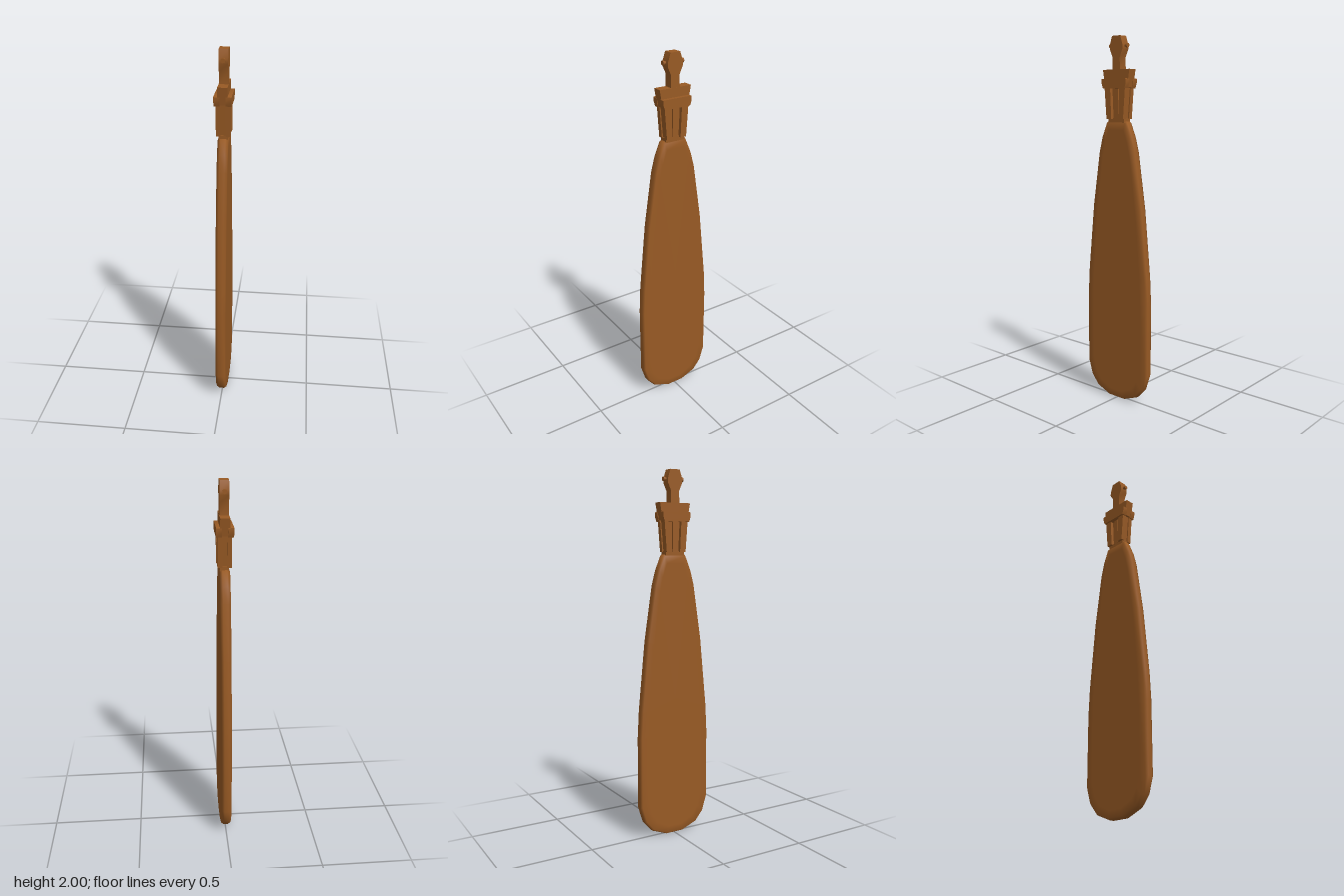
import * as THREE from 'three';
import { toCreasedNormals } from 'three/addons/utils/BufferGeometryUtils.js';

const wood = new THREE.MeshStandardMaterial({ color: 0x985a24 });
wood.name = 'brown wood';

// Mirror right-hand (halfWidth, y) points into a closed counter-clockwise outline
function mirrored(half) {
  return [...half, ...half.slice().reverse().map(([w, y]) => [-w, y])];
}

// Slab whose outline lies in the z-y plane, spanning x0..x1
function slab(points, x0, x1) {
  const shape = new THREE.Shape(points.map(([z, y]) => new THREE.Vector2(-z, y)).reverse());
  const geo = new THREE.ExtrudeGeometry(shape, { depth: x1 - x0, bevelEnabled: false });
  geo.rotateY(Math.PI / 2);
  geo.translate(x0, 0, 0);
  return toCreasedNormals(geo, 0.6);
}

// Blade: insets of one outline lofted across x, with softly rounded rims
function bladeGeometry() {
  const outline = mirrored([
    [0.05, 0.005], [0.14, 0.04], [0.187, 0.095], [0.214, 0.18], [0.214, 0.57], [0.206, 0.72],
    [0.167, 1.1], [0.12, 1.4], [0.098, 1.48], [0.065, 1.557],
  ]);
  const rings = [[-0.027, 0.045], [-0.027, 0.008], [-0.013, 0], [0.013, 0], [0.027, 0.008], [0.027, 0.045]];
  const n = outline.length, cy = 0.78;
  const pos = [], idx = [];
  for (const [x, inset] of rings) {
    for (const [z, y] of outline) {
      pos.push(x, cy + (y - cy) * (1 - inset / 0.775), z * (1 - inset / 0.214));
    }
  }
  for (let r = 0; r < rings.length - 1; r++) {
    for (let i = 0; i < n; i++) {
      const a = r * n + i, b = r * n + (i + 1) % n;
      idx.push(a, a + n, b, b, a + n, b + n);
    }
  }
  // Flat faces on both sides
  const left = pos.length / 3, right = left + 1;
  pos.push(-0.027, cy, 0, 0.027, cy, 0);
  const last = (rings.length - 1) * n;
  for (let i = 0; i < n; i++) {
    const j = (i + 1) % n;
    idx.push(left, i, j, right, last + j, last + i);
  }
  // Orient the surface outwards
  let volume = 0;
  const p = (i) => new THREE.Vector3().fromArray(pos, i * 3);
  for (let i = 0; i < idx.length; i += 3) {
    volume += p(idx[i]).dot(p(idx[i + 1]).cross(p(idx[i + 2])));
  }
  if (volume < 0) idx.reverse();
  const geo = new THREE.BufferGeometry();
  geo.setAttribute('position', new THREE.Float32BufferAttribute(pos, 3));
  geo.setIndex(idx);
  geo.computeVertexNormals();
  return geo;
}

export function createModel() {
  const group = new THREE.Group();
  const add = (name, geo, x = 0, y = 0, z = 0) => {
    const mesh = new THREE.Mesh(geo, wood);
    mesh.name = name;
    mesh.position.set(x, y, z);
    group.add(mesh);
    return mesh;
  };

  add('blade', bladeGeometry());

  // Carved shaft between blade and crown
  add('shaftFoot', new THREE.BoxGeometry(0.046, 0.03, 0.11), 0, 1.56, 0);
  add('shaftCore', slab(mirrored([[0.05, 1.565], [0.066, 1.75]]), -0.017, 0.017));
  for (const side of [-1, 1]) {
    const x0 = side < 0 ? -0.036 : 0.012, x1 = side < 0 ? -0.012 : 0.036;
    // Tapered slats standing proud of the core, in front and behind
    add('slatFront', slab([[0.024, 1.57], [0.058, 1.57], [0.071, 1.735], [0.032, 1.735]], x0, x1));
    add('slatBack', slab([[-0.058, 1.57], [-0.024, 1.57], [-0.032, 1.735], [-0.071, 1.735]], x0, x1));
    // Central rib
    add('centreRib', new THREE.BoxGeometry(0.014, 0.17, 0.028), side * 0.017, 1.655, 0);
    // Ledge over the slats
    add('ledge', slab(mirrored([[0.075, 1.73], [0.084, 1.757], [0.084, 1.778], [0.08, 1.78]]),
      side < 0 ? -0.045 : 0.015, side < 0 ? -0.015 : 0.045));
  }

  // Flared crown
  add('crown', slab(mirrored([[0.076, 1.735], [0.092, 1.828]]), -0.025, 0.025));

  // Neck and faceted head
  add('neckAndHead', slab(mirrored([
    [0.026, 1.82], [0.025, 1.89], [0.043, 1.93], [0.043, 1.955], [0.028, 2.0],
  ]), -0.024, 0.024));

  // Ear pegs with wider end caps
  for (const side of [-1, 1]) {
    add('earPeg', new THREE.CylinderGeometry(0.008, 0.008, 0.02, 10), 0, 1.95, side * 0.046)
      .rotation.x = Math.PI / 2;
    add('earCap', new THREE.CylinderGeometry(0.012, 0.012, 0.009, 10), 0, 1.95, side * 0.056)
      .rotation.x = Math.PI / 2;
  }

  return group;
}
